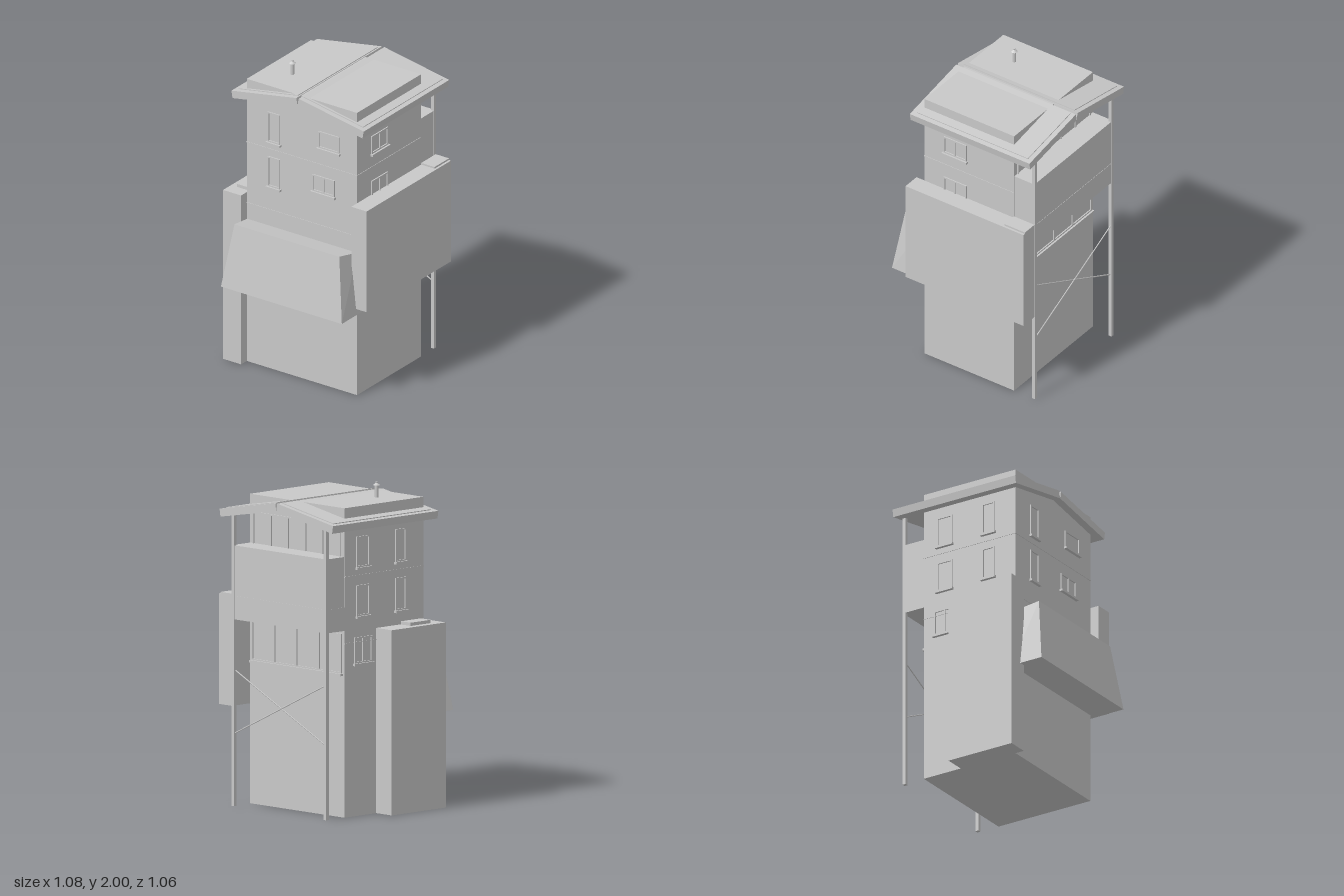
import * as THREE from 'three';

const grey = new THREE.MeshStandardMaterial({ color: 0xc8c8c8 });
grey.name = 'plaster grey';

function add(parent, name, geometry) {
  const mesh = new THREE.Mesh(geometry, grey);
  mesh.name = name;
  parent.add(mesh);
  return mesh;
}

// Box given by its limits on each axis
function block(parent, name, x0, x1, y0, y1, z0, z1) {
  const mesh = add(parent, name, new THREE.BoxGeometry(x1 - x0, y1 - y0, z1 - z0));
  mesh.position.set((x0 + x1) / 2, (y0 + y1) / 2, (z0 + z1) / 2);
  return mesh;
}

// Outline in x and y, extruded from z0 to z1
function prism(parent, name, points, z0, z1) {
  const shape = new THREE.Shape(points.map(([x, y]) => new THREE.Vector2(x, y)));
  const geometry = new THREE.ExtrudeGeometry(shape, { depth: z1 - z0, bevelEnabled: false });
  geometry.translate(0, 0, z0);
  return add(parent, name, geometry);
}

// Window frame with mullions and a sill, built flat on a wall facing +z
function windowUnit(parent, name, u, y0, y1, width, panes, sill = true) {
  const group = new THREE.Group();
  group.name = name;
  const t = 0.009, d = 0.008, h = width / 2;
  for (let i = 0; i <= panes; i++) {
    const x = u - h + t / 2 + ((width - t) * i) / panes;
    block(group, 'upright', x - t / 2, x + t / 2, y0, y1, 0, d);
  }
  block(group, 'headRail', u - h, u + h, y1 - t, y1, 0, d);
  block(group, 'bottomRail', u - h, u + h, y0, y0 + t, 0, d);
  if (sill) block(group, 'sill', u - h - 0.008, u + h + 0.008, y0 - 0.014, y0, 0, 0.02);
  parent.add(group);
}

function wall(parent, name, x, z, yaw) {
  const group = new THREE.Group();
  group.name = name;
  group.position.set(x, 0, z);
  group.rotation.y = yaw;
  parent.add(group);
  return group;
}

// Straight round rod between two points
function rod(parent, name, a, b, radius) {
  const path = new THREE.LineCurve3(new THREE.Vector3(...a), new THREE.Vector3(...b));
  return add(parent, name, new THREE.TubeGeometry(path, 1, radius, 6));
}

// Tapered bay hung on the front, wider at the bottom
function frontBay(parent) {
  const geometry = new THREE.BoxGeometry(1, 1, 1);
  const p = geometry.attributes.position;
  for (let i = 0; i < p.count; i++) {
    const top = p.getY(i) > 0, front = p.getZ(i) > 0;
    const half = !top ? 0.4525 : front ? 0.3925 : 0.41;
    const y = !top ? 0.575 : front ? 0.99 : 0.96;
    const z = !front ? 0.31 : top ? 0.472 : 0.53;
    p.setXYZ(i, 0.0075 + Math.sign(p.getX(i)) * half, y, z);
  }
  const flat = geometry.toNonIndexed();
  flat.computeVertexNormals();
  add(parent, 'frontBay', flat);
}

export function createModel() {
  const model = new THREE.Group();
  model.name = 'towerHouse';

  // Main body and side volumes
  block(model, 'mainBody', -0.405, 0.42, 0, 1.905, -0.355, 0.315);
  block(model, 'sideTower', -0.54, -0.405, 0, 1.14, -0.085, 0.375);
  block(model, 'towerHatch', -0.495, -0.41, 1.14, 1.16, 0.12, 0.29);
  block(model, 'sideWing', 0.42, 0.535, 0.615, 1.295, -0.507, 0.375);
  block(model, 'wingCap', 0.42, 0.52, 1.295, 1.306, -0.507, -0.355);
  frontBay(model);

  // Thin floor bands
  for (const y of [1.07, 1.48])
    block(model, 'floorBand', -0.408, 0.423, y - 0.003, y + 0.003, -0.355, 0.318);

  // Balcony on posts with cross bracing
  block(model, 'balconyBase', -0.405, 0.42, 1.15, 1.295, -0.507, -0.355);
  block(model, 'balconyParapet', -0.403, 0.418, 1.295, 1.605, -0.505, -0.355);
  for (const x of [-0.394, 0.409])
    block(model, 'post', x - 0.011, x + 0.011, 0, 1.79, -0.51, -0.488);
  rod(model, 'brace', [0.409, 0.84, -0.497], [-0.394, 0.455, -0.497], 0.004);
  rod(model, 'brace', [0.409, 0.445, -0.501], [-0.394, 0.83, -0.501], 0.004);

  // Two roof slabs with a groove at the ridge and a raised panel on each
  for (const s of [-1, 1]) {
    const side = (pts) => pts.map(([x, y]) => [0.01 + s * x, y]);
    prism(model, 'roofSlab', side([[0, 1.86], [0.009, 1.908], [0.495, 1.822], [0.487, 1.774]]), -0.53, 0.365);
    prism(model, 'roofPanel', side([[0.02, 1.9], [0.021, 1.911], [0.466, 1.832], [0.465, 1.822]]), -0.498, 0.33);
  }

  // Roof vent
  const vent = new THREE.Group();
  vent.name = 'roofVent';
  vent.position.set(-0.218, 0, 0.1);
  model.add(vent);
  add(vent, 'pipe', new THREE.CylinderGeometry(0.012, 0.012, 0.085, 8)).position.y = 1.94;
  add(vent, 'cap', new THREE.CylinderGeometry(0.007, 0.022, 0.012, 8)).position.y = 1.986;
  block(vent, 'finial', -0.005, 0.005, 1.99, 2, -0.005, 0.005);

  // Front windows
  const front = wall(model, 'frontWall', 0, 0.315, 0);
  for (const y of [1.23, 1.53]) windowUnit(front, 'tallWindow', -0.2, y, y + 0.2, 0.09, 1);
  windowUnit(front, 'wideWindow', 0.2125, 1.595, 1.705, 0.155, 1);
  windowUnit(front, 'wideWindow', 0.1725, 1.292, 1.402, 0.165, 2);

  // Windows on the +x side
  const left = wall(model, 'leftWall', 0.42, 0, Math.PI / 2);
  for (const y of [1.27, 1.572]) windowUnit(left, 'sideWindow', -0.083, y, y + 0.118, 0.17, 2);

  // Windows on the -x side
  const right = wall(model, 'rightWall', -0.405, 0, -Math.PI / 2);
  for (const y of [1.23, 1.53]) {
    windowUnit(right, 'tallWindow', 0.12, y, y + 0.2, 0.09, 1);
    windowUnit(right, 'tallWindow', -0.2, y, y + 0.19, 0.11, 1);
  }
  windowUnit(right, 'lowWindow', -0.2, 0.94, 1.1, 0.15, 2);

  // Glazed rows behind the balcony and beneath it
  const back = wall(model, 'backWall', 0, -0.355, Math.PI);
  windowUnit(back, 'upperGlazing', -0.0075, 1.59, 1.8, 0.76, 5, false);
  windowUnit(back, 'lowerGlazing', -0.0075, 0.885, 1.13, 0.78, 4);

  return model;
}
